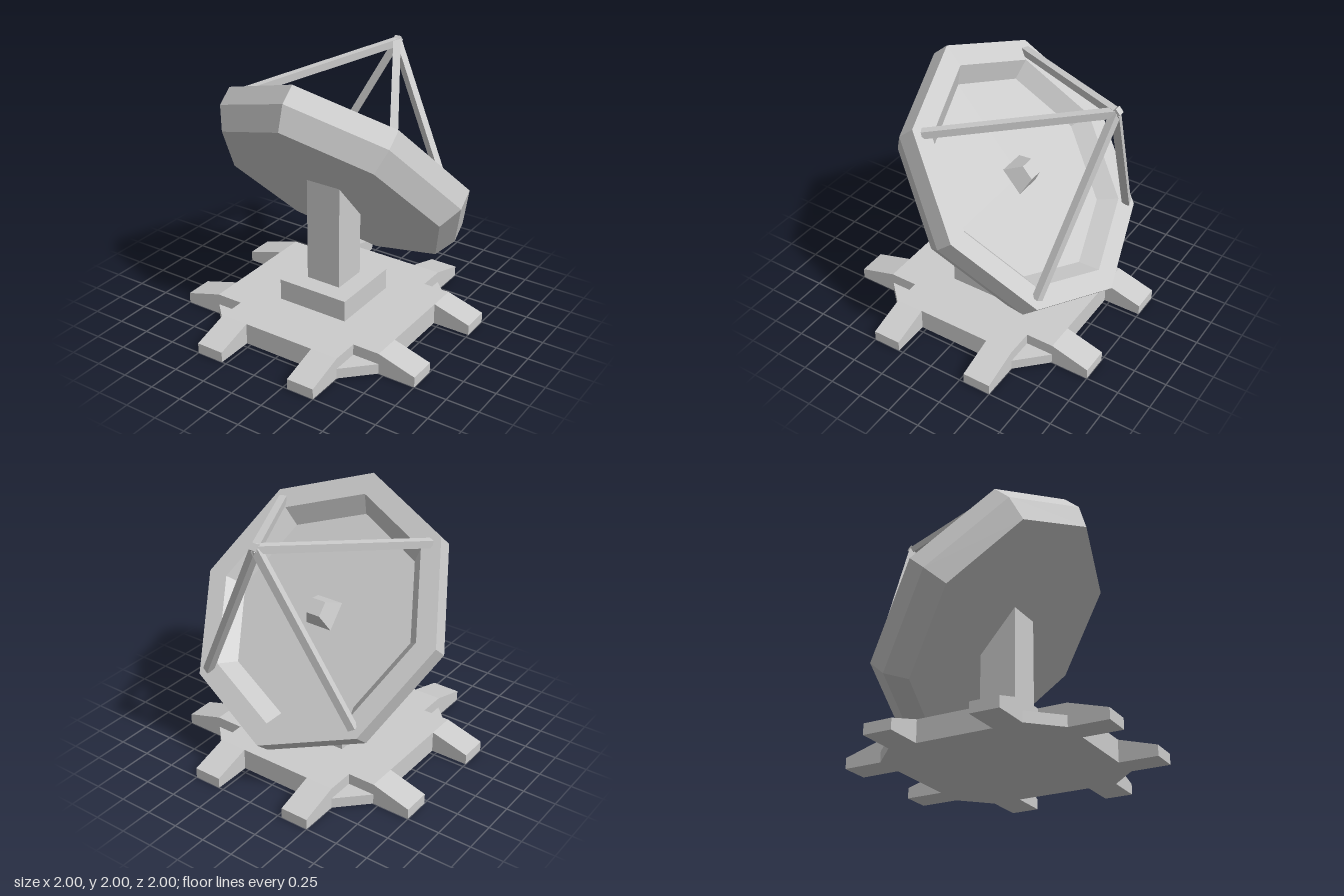
import * as THREE from 'three';

const TILT = -0.847; // dish leans back, opening up and to the rear

export function createModel() {
  const model = new THREE.Group();
  model.name = 'satelliteDish';
  const material = new THREE.MeshStandardMaterial({ color: 0xcccccc, flatShading: true });

  const add = (name, geometry, parent = model) => {
    const mesh = new THREE.Mesh(geometry, material);
    mesh.name = name;
    parent.add(mesh);
    return mesh;
  };
  const extrude = (points, depth) => new THREE.ExtrudeGeometry(
    new THREE.Shape(points.map(([x, y]) => new THREE.Vector2(x, y))),
    { depth, bevelEnabled: false });

  // Base: cross-shaped plate
  const a = 0.5, b = 0.71, high = 0.165, low = 0.08;
  const plate = extrude([
    [a, -b], [a, -a], [b, -a], [b, a], [a, a], [a, b],
    [-a, b], [-a, a], [-b, a], [-b, -a], [-a, -a], [-a, -b],
  ], high);
  add('basePlate', plate.rotateX(-Math.PI / 2));

  // Each side has two tapering feet and one low corner shelf
  for (let i = 0; i < 4; i++) {
    const side = new THREE.Group();
    side.name = 'baseSide';
    side.rotation.y = i * Math.PI / 2;
    for (const z of [0.285, -0.5]) {
      const foot = extrude([[b, 0], [1, 0], [1, low], [b, high]], 0.215);
      add('foot', foot.translate(0, 0, z), side);
    }
    const shelf = extrude([[a, a], [b, a], [a, b]], low);
    add('cornerShelf', shelf.rotateX(-Math.PI / 2), side);
    model.add(side);
  }

  // Pedestal and column, the column cut to the slope of the dish
  add('pedestal', new THREE.BoxGeometry(0.57, 0.165, 0.57)).position.y = 0.2475;
  const column = extrude([[-0.14, 0.33], [0.14, 0.33], [0.14, 0.84], [-0.14, 1.145]], 0.28);
  add('column', column.translate(0, 0, -0.14).rotateY(Math.PI / 2));

  // Dish: eight-sided shell, slightly narrower across than along its slope
  const dish = new THREE.Group();
  dish.name = 'dish';
  dish.position.set(0, 1.215, -0.205);
  dish.rotation.x = TILT;
  model.add(dish);
  const profile = [
    [0, -0.313], [0.946, -0.313], [1.048, -0.15], [1.048, 0],
    [0.882, 0], [0.775, -0.125], [0, -0.125],
  ].map(([r, y]) => new THREE.Vector2(r, y));
  add('dishShell', new THREE.LatheGeometry(profile, 8).scale(0.94, 1, 1), dish);

  // Square tapered receiver in the middle of the dish
  const receiver = new THREE.CylinderGeometry(0.056 * Math.SQRT2, 0.107 * Math.SQRT2, 0.135, 4);
  add('receiver', receiver.rotateY(Math.PI / 4).translate(0, -0.06, 0), dish);

  // Four struts from the rim to the feed point
  const apex = new THREE.Vector3(0, 1.92, -0.84);
  for (const x of [-0.64, 0.64]) {
    for (const [y, z] of [[1.72, 0.25], [0.7, -0.66]]) {
      const foot = new THREE.Vector3(x, y, z);
      const strut = new THREE.Mesh(
        new THREE.BoxGeometry(0.055, 0.055, foot.distanceTo(apex)), material);
      strut.name = 'strut';
      strut.position.copy(foot).lerp(apex, 0.5);
      strut.lookAt(apex);
      model.add(strut);
    }
  }
  const tip = add('feedPoint', new THREE.BoxGeometry(0.05, 0.06, 0.05));
  tip.position.set(0, 1.925, -0.845);
  tip.rotation.x = TILT;

  return model;
}
